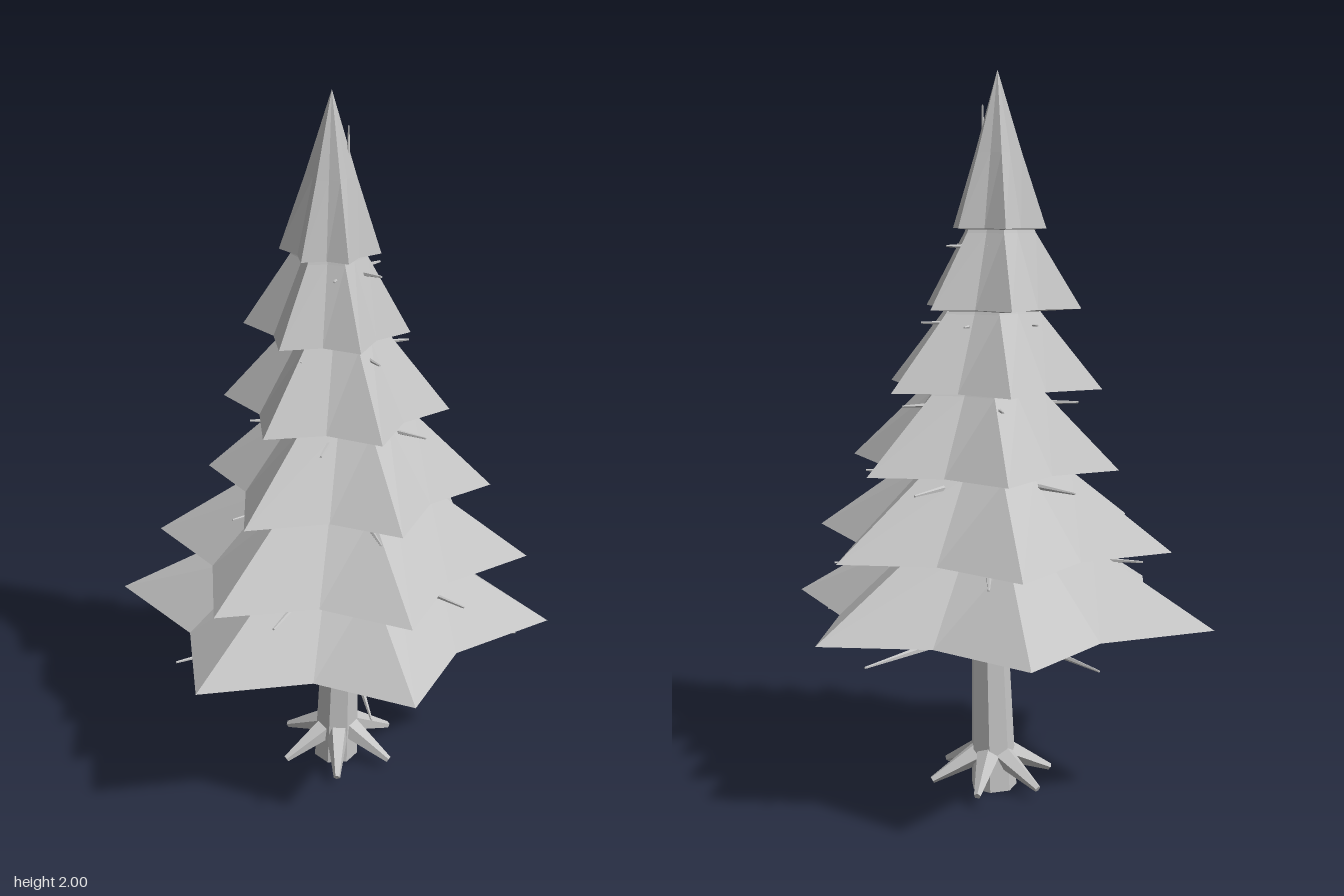
import * as THREE from 'three';

const POINTS = 6;

// Foliage tiers: rim height, centre x, and tip radius per star point
// (counter-clockwise from +x, seen from above)
const TIERS = [
  { y: 0.52, x: 0.015, tips: [0.605, 0.589, 0.598, 0.635, 0.593, 0.56] },
  { y: 0.724, x: 0.025, tips: [0.525, 0.51, 0.535, 0.525, 0.528, 0.505] },
  { y: 0.938, x: 0.04, tips: [0.4, 0.395, 0.405, 0.39, 0.425, 0.395] },
  { y: 1.156, x: 0.02, tips: [0.3, 0.336, 0.33, 0.32, 0.314, 0.305] },
  { y: 1.37, x: 0, tips: [0.21, 0.228, 0.233, 0.24, 0.216, 0.206] },
  { y: 1.582, x: 0, tips: [0.13, 0.135, 0.135, 0.14, 0.125, 0.12] },
];

// Branch whorls: height, length and starting angle in degrees
const WHORLS = [
  [0.471, 0.51, 0], [0.685, 0.44, 39], [0.9, 0.355, 7],
  [1.11, 0.255, 49], [1.325, 0.175, 21], [1.535, 0.11, 45],
];

// Trunk centre drifts slightly to +x with height
const trunkX = (y) => 0.015 + 0.016 * y;

// Stitches closed rings, ordered from bottom to top, into a flat-faced skin
function skin(rings) {
  const n = rings[0].length;
  const pos = [];
  for (let r = 0; r < rings.length - 1; r++) {
    for (let i = 0; i < n; i++) {
      const j = (i + 1) % n;
      const [a, b, c, d] = [rings[r][i], rings[r][j], rings[r + 1][j], rings[r + 1][i]];
      pos.push(...a, ...b, ...c, ...a, ...c, ...d);
    }
  }
  const geo = new THREE.BufferGeometry();
  geo.setAttribute('position', new THREE.Float32BufferAttribute(pos, 3));
  geo.computeVertexNormals();
  return geo;
}

// Star-shaped ring: tips scaled by s, valleys pulled in by the given ratio
function starRing(tips, x, s, valley, y) {
  const ring = [];
  for (let i = 0; i < POINTS * 2; i++) {
    const k = Math.floor(i / 2);
    const r = i % 2 ? valley * (tips[k] + tips[(k + 1) % POINTS]) / 2 : tips[k];
    const a = (i * Math.PI) / POINTS;
    ring.push([x + Math.cos(a) * r * s, y, -Math.sin(a) * r * s]);
  }
  return ring;
}

// Tapered limb between two points
function limb(from, to, r0, r1, sides) {
  const dir = to.clone().sub(from);
  const geo = new THREE.CylinderGeometry(r1, r0, dir.length(), sides);
  const up = new THREE.Vector3(0, 1, 0);
  geo.applyQuaternion(new THREE.Quaternion().setFromUnitVectors(up, dir.clone().normalize()));
  const mid = from.clone().add(to).multiplyScalar(0.5);
  geo.translate(mid.x, mid.y, mid.z);
  return geo;
}

export function createModel() {
  const tree = new THREE.Group();
  tree.name = 'pineTree';
  const grey = new THREE.MeshStandardMaterial({ color: 0xc4c4c4, flatShading: true });
  grey.name = 'paleGrey';

  const add = (parent, name, geo) => {
    const mesh = new THREE.Mesh(geo, grey);
    mesh.name = name;
    parent.add(mesh);
  };
  const group = (name) => {
    const g = new THREE.Group();
    g.name = name;
    tree.add(g);
    return g;
  };

  // Trunk, tapering to a thin spike beside the tip
  const v = (x, y, z) => new THREE.Vector3(x, y, z);
  const trunkRing = (x, y, r) => Array.from({ length: 7 }, (_, i) => {
    const a = (i * 2 * Math.PI) / 7;
    return [x + Math.cos(a) * r, y, -Math.sin(a) * r];
  });
  add(tree, 'trunk', skin([
    trunkRing(0.012, 0, 0), trunkRing(0.012, 0, 0.066), trunkRing(0.025, 0.48, 0.052),
    trunkRing(0.035, 1.2, 0.025), trunkRing(0.043, 1.91, 0.002), trunkRing(0.043, 1.91, 0),
  ]));

  // Roots
  const roots = group('roots');
  for (let i = 0; i < 6; i++) {
    const a = (i * 60 - 22) * Math.PI / 180;
    const c = Math.cos(a), s = -Math.sin(a);
    add(roots, 'root', limb(v(0.018 + c * 0.03, 0.105, s * 0.03),
      v(0.018 + c * 0.176, 0.033, s * 0.176), 0.036, 0.01, 5));
  }

  // Branch whorls
  const branches = group('branches');
  for (const [y, length, start] of WHORLS) {
    for (let i = 0; i < 5; i++) {
      const a = ((start + i * 72) * Math.PI) / 180;
      const x = trunkX(y);
      add(branches, 'branch', limb(v(x, y - 0.003, 0),
        v(x + Math.cos(a) * length, y, -Math.sin(a) * length), 0.008 + 0.02 * length, 0.003, 5));
    }
  }

  // Foliage tiers, each a concave star-shaped cone with a shallow underside
  const foliage = group('foliage');
  TIERS.forEach(({ y, x, tips }, i) => {
    const last = i === TIERS.length - 1;
    const sag = 0.075 * tips[0];
    add(foliage, 'foliageTier', skin([
      starRing(tips, x, 0, 0.72, y - sag),
      starRing(tips, x, 0.2, 0.85, y - sag),
      starRing(tips, x, 1, 0.72, y),
      starRing(tips, x, last ? 0.5 : 0.46, 0.78, y + 0.2),
      starRing(tips, x, 0, 0.72, last ? 2 : y + 0.42),
    ]));
  });
  return tree;
}
